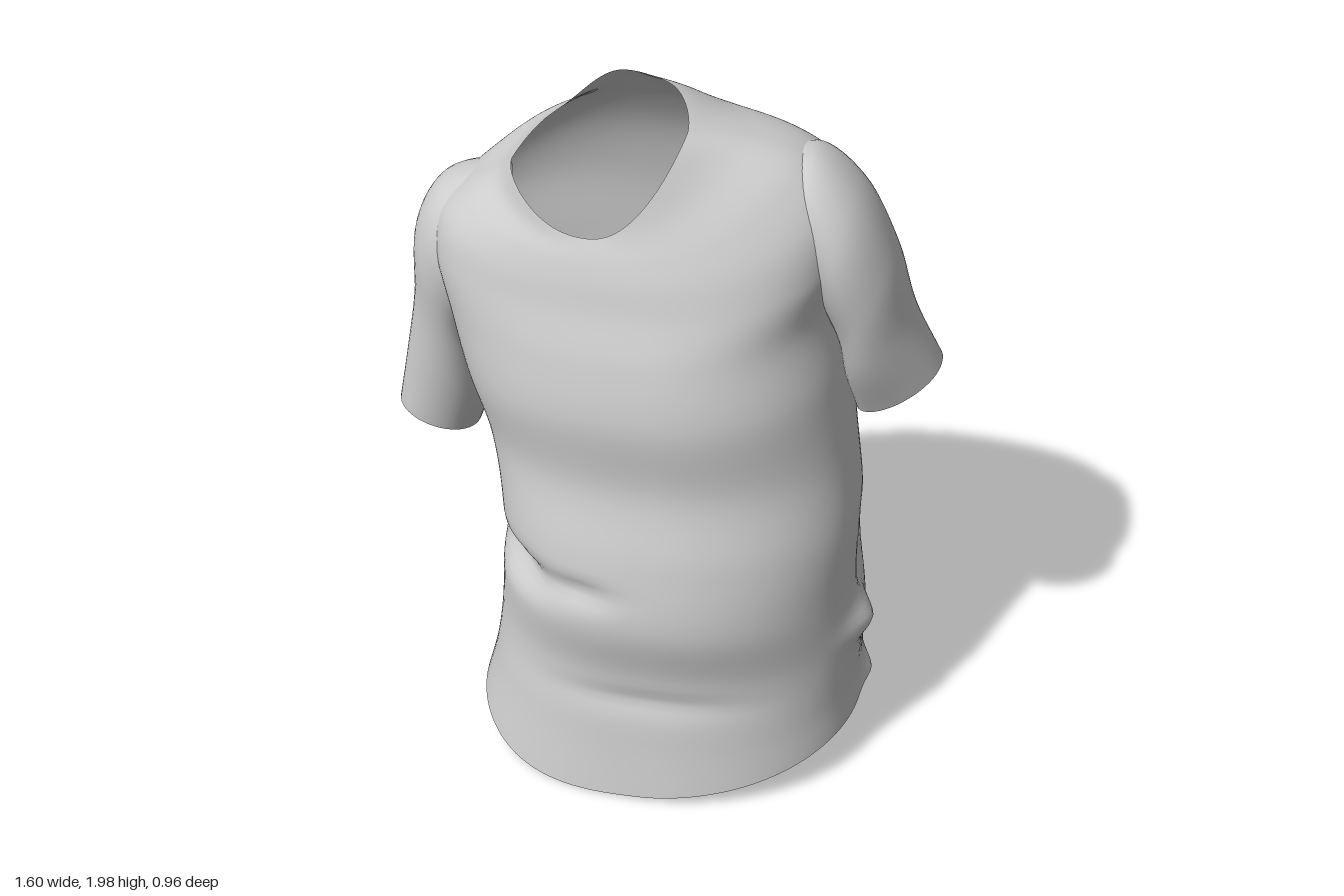
import * as THREE from 'three';

const material = new THREE.MeshStandardMaterial({ color: 0xcccccc, side: THREE.DoubleSide });
const spow = (v, p) => Math.sign(v) * Math.abs(v) ** p;

// Smooth open tube: key(row, angle) gives a point of each key ring, joined by splines.
function loft(name, rows, key, sides, steps, adjust = (p) => p) {
  const pos = [], index = [];
  for (let i = 0; i < sides; i++) {
    const a = (i / sides) * Math.PI * 2;
    const curve = new THREE.CatmullRomCurve3(rows.map((r) => key(r, a)), false, 'centripetal');
    for (let j = 0; j <= steps; j++) pos.push(...adjust(curve.getPoint(j / steps), a, j / steps).toArray());
  }
  const at = (i, j) => (i % sides) * (steps + 1) + j;
  for (let i = 0; i < sides; i++) {
    for (let j = 0; j < steps; j++) {
      index.push(at(i, j), at(i, j + 1), at(i + 1, j));
      index.push(at(i + 1, j), at(i, j + 1), at(i + 1, j + 1));
    }
  }
  const geometry = new THREE.BufferGeometry();
  geometry.setAttribute('position', new THREE.Float32BufferAttribute(pos, 3));
  geometry.setIndex(index);
  geometry.computeVertexNormals();
  const mesh = new THREE.Mesh(geometry, material);
  mesh.name = name;
  return mesh;
}

// Torso rings, hem to neckline:
// right x, y, left x, y, front z, y, back z, y, centre x, z
const torsoRows = [
  [-0.48, 0.10, 0.66, 0.15, 0.48, 0.04, -0.45, 0.05, 0.10, 0.03],
  [-0.44, 0.25, 0.65, 0.25, 0.45, 0.20, -0.48, 0.20, 0.10, 0.03],
  [-0.42, 0.40, 0.65, 0.40, 0.425, 0.40, -0.465, 0.40, 0.10, 0.02],
  [-0.41, 0.60, 0.63, 0.60, 0.455, 0.60, -0.42, 0.60, 0.10, 0],
  [-0.41, 0.80, 0.62, 0.80, 0.42, 0.80, -0.41, 0.80, 0.10, 0],
  [-0.45, 1.00, 0.585, 1.02, 0.36, 1.00, -0.43, 1.00, 0.10, -0.03],
  [-0.52, 1.18, 0.55, 1.25, 0.365, 1.22, -0.455, 1.22, 0.08, -0.07],
  [-0.57, 1.34, 0.52, 1.45, 0.325, 1.38, -0.455, 1.42, 0.05, -0.10],
  [-0.61, 1.50, 0.54, 1.62, 0.27, 1.50, -0.43, 1.60, 0, -0.11],
  [-0.59, 1.61, 0.52, 1.77, 0.24, 1.58, -0.39, 1.74, -0.04, -0.11],
  [-0.51, 1.69, 0.41, 1.865, 0.215, 1.63, -0.33, 1.85, -0.08, -0.09],
  [-0.42, 1.75, 0.24, 1.91, 0.195, 1.66, -0.27, 1.93, -0.10, -0.05],
  [-0.36, 1.81, 0.11, 1.92, 0.18, 1.68, -0.22, 1.98, -0.12, 0.02],
];

function torsoPoint([xR, yR, xL, yL, zF, yF, zB, yB, cx, cz], a) {
  const c = Math.cos(a), s = Math.sin(a);
  const upper = yF > 1.45, neck = yF > 1.65;
  let p = 0.84;
  if (neck) p = s < 0 ? 1.08 : 0.93;
  else if (!upper && s > 0 && c > 0) p = 0.97;
  const twist = s < 0 && !upper ? 0.06 * s * s : 0;
  return new THREE.Vector3(
    cx + spow(c, p) * (c > 0 ? xL - cx : cx - xR) + twist,
    c * c * (c > 0 ? yL : yR) + s * s * (s > 0 ? yF : yB),
    cz + spow(s, p) * (s > 0 ? zF - cz : cz - zB),
  );
}

// Dents and folds in the cloth: centre, spread, push
const folds = [
  { at: [-0.33, 0.67, 0.28], spread: [0.16, 0.05, 0.16], push: [0.03, 0, -0.06] },
  { at: [-0.1, 0.69, 0.42], spread: [0.1, 0.035, 0.12], push: [0, 0, -0.025] },
  { at: [0.63, 0.62, -0.07], spread: [0.1, 0.12, 0.07], push: [-0.04, 0, 0] },
  { at: [0.66, 0.46, 0.05], spread: [0.12, 0.05, 0.09], push: [0.04, 0, 0] },
  { at: [0.1, 0.33, 0.43], spread: [0.25, 0.035, 0.1], push: [0, 0, -0.015] },
  { at: [0.65, 0.14, -0.1], spread: [0.1, 0.04, 0.08], push: [0.025, 0, 0] },
  // Collar rises at its left and sinks at its right
  { at: [0.05, 1.94, -0.1], spread: [0.1, 0.1, 0.13], push: [0, 0.035, 0] },
  { at: [-0.24, 1.93, -0.15], spread: [0.1, 0.1, 0.13], push: [0, -0.03, 0] },
];

function foldCloth(p, a, t) {
  const shift = new THREE.Vector3();
  for (const { at, spread, push } of folds) {
    const d = ((p.x - at[0]) / spread[0]) ** 2 + ((p.y - at[1]) / spread[1]) ** 2 + ((p.z - at[2]) / spread[2]) ** 2;
    shift.addScaledVector(new THREE.Vector3(...push), Math.exp(-d));
  }
  // Hem dips at the right of the front
  const dip = 0.055 * Math.max(0, Math.cos(a - 2.2)) ** 4 * Math.max(0, 1 - t * 10);
  p.add(shift);
  p.y = Math.max(0, p.y - dip);
  return p;
}

// Sleeve rings, shoulder to cuff: outer x, y, inner x, y, front z, back z
const leftRows = [
  [0.36, 1.865, 0.44, 1.50, 0.06, -0.25],
  [0.44, 1.87, 0.46, 1.48, 0.09, -0.27],
  [0.56, 1.78, 0.48, 1.44, 0.11, -0.27],
  [0.66, 1.60, 0.52, 1.34, 0.09, -0.26],
  [0.72, 1.40, 0.54, 1.21, 0.05, -0.28],
  [0.80, 1.22, 0.57, 1.07, -0.02, -0.31],
];
const rightRows = [
  [-0.43, 1.70, -0.50, 1.34, 0.05, -0.28],
  [-0.52, 1.69, -0.51, 1.28, 0.06, -0.32],
  [-0.62, 1.64, -0.51, 1.23, 0.05, -0.34],
  [-0.69, 1.52, -0.52, 1.16, 0.02, -0.36],
  [-0.72, 1.28, -0.51, 1.05, -0.02, -0.36],
  [-0.76, 1.07, -0.52, 0.93, -0.05, -0.35],
  [-0.80, 0.87, -0.56, 0.80, -0.08, -0.32],
];

const sleevePoint = (turn) => ([xo, yo, xi, yi, zF, zB], a) => {
  const u = (1 + Math.cos(a)) / 2, s = turn * Math.sin(a);
  return new THREE.Vector3(
    xi + (xo - xi) * u,
    yi + (yo - yi) * u,
    (zF + zB) / 2 + (spow(s, 0.9) * (zF - zB)) / 2,
  );
};

export function createModel() {
  const shirt = new THREE.Group();
  shirt.name = 'shirt';
  shirt.add(
    loft('torso', torsoRows, torsoPoint, 120, 110, foldCloth),
    loft('leftSleeve', leftRows, sleevePoint(-1), 48, 40),
    loft('rightSleeve', rightRows, sleevePoint(1), 48, 40),
  );
  return shirt;
}
